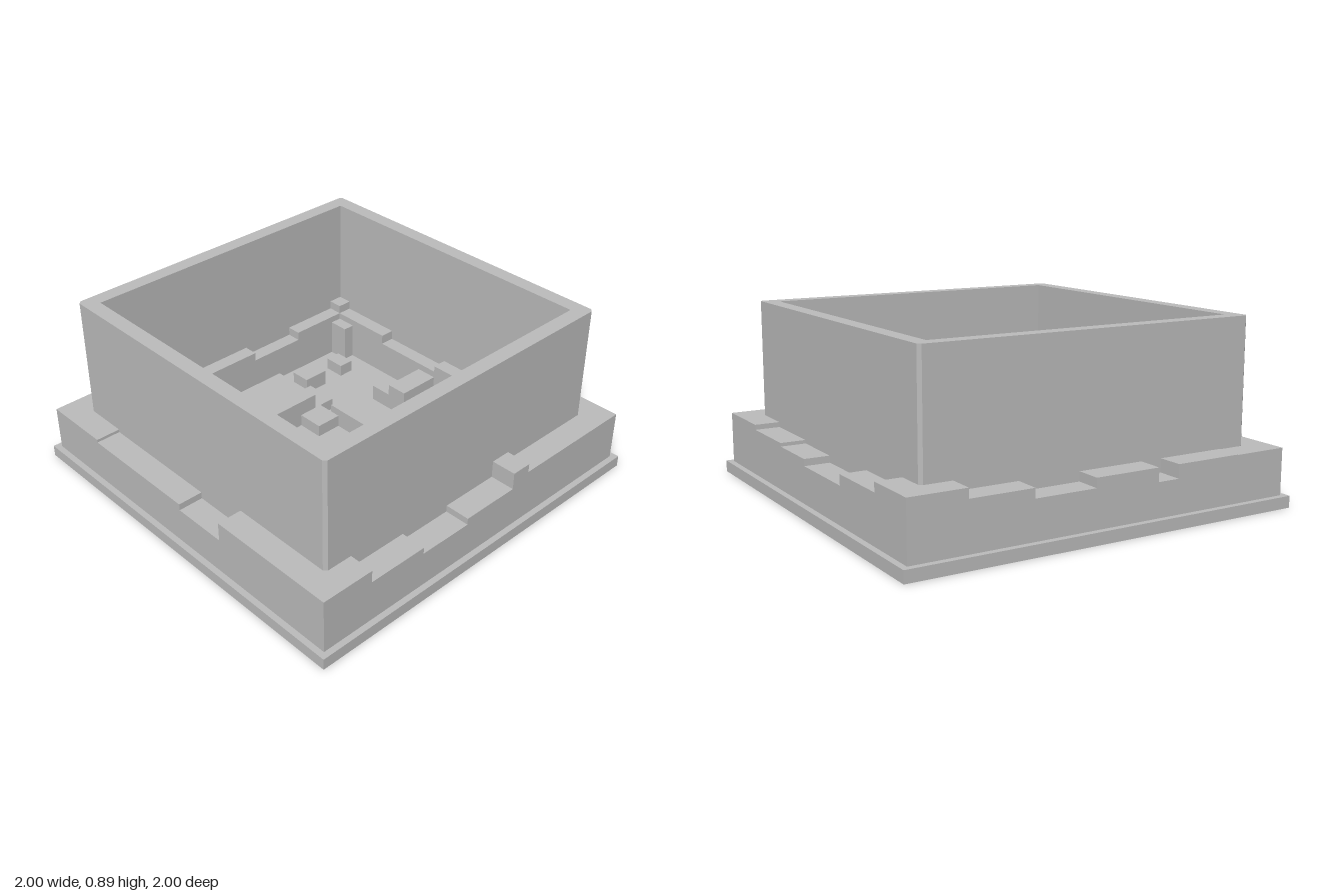
import * as THREE from 'three';

export function createModel() {
  const model = new THREE.Group();
  const stone = new THREE.MeshStandardMaterial({ color: 0xbcbcbc });
  stone.name = 'grey stone';
  const FLOOR = 0.057;

  // Box given by its x range, y range and z range
  function block(name, x0, x1, y0, y1, z0, z1) {
    const mesh = new THREE.Mesh(new THREE.BoxGeometry(x1 - x0, y1 - y0, z1 - z0), stone);
    mesh.position.set((x0 + x1) / 2, (y0 + y1) / 2, (z0 + z1) / 2);
    mesh.name = name;
    model.add(mesh);
  }

  // Base slab
  block('baseSlab', -1, 1, 0, FLOOR, -1, 1);

  // Uneven low wall: runs of [start, end, height] along each side
  const OUT = 0.97, IN = 0.695;
  const front = [[-OUT, -0.7, 0.33], [-0.7, -0.39, 0.268], [-0.39, -0.11, 0.235],
    [-0.11, 0.195, 0.268], [0.195, 0.3, 0.355], [0.3, OUT, 0.31]];
  const back = [[-OUT, -0.7, 0.283], [-0.7, -0.36, 0.285], [-0.36, -0.25, 0.22],
    [-0.25, 0.08, 0.285], [0.08, 0.385, 0.24], [0.385, IN, 0.285], [IN, OUT, 0.33]];
  const right = [[-IN, -0.36, 0.285], [-0.36, 0.025, 0.235], [0.025, 0.305, 0.268],
    [0.305, 0.635, 0.285], [0.635, IN, 0.31]];
  const left = [[-IN, -0.615, 0.283], [-0.615, 0.025, 0.268], [0.025, 0.305, 0.235],
    [0.305, IN, 0.33]];
  for (const [a, b, h] of front) block('frontLowWall', a, b, FLOOR, h, IN, OUT);
  for (const [a, b, h] of back) block('backLowWall', a, b, FLOOR, h, -OUT, -IN);
  for (const [a, b, h] of right) block('rightLowWall', IN, OUT, FLOOR, h, a, b);
  for (const [a, b, h] of left) block('leftLowWall', -OUT, -IN, FLOOR, h, a, b);

  // Tall square frame with clipped corners, open at the top
  const R = 0.845, C = 0.83, H = 0.77;
  const outline = new THREE.Shape([[-C, -R], [C, -R], [R, -C], [R, C], [C, R], [-C, R],
    [-R, C], [-R, -C]].map(([x, y]) => new THREE.Vector2(x, y)));
  outline.holes.push(new THREE.Path([[-H, -H], [-H, H], [H, H], [H, -H]]
    .map(([x, y]) => new THREE.Vector2(x, y))));
  const frame = new THREE.Mesh(
    new THREE.ExtrudeGeometry(outline, { depth: 0.69, bevelEnabled: false }), stone);
  frame.rotation.x = -Math.PI / 2;
  frame.position.y = 0.2;
  frame.name = 'tallFrame';
  model.add(frame);

  // Stubs reaching inward from the low wall
  block('frontStub', 0.195, 0.3, FLOOR, 0.355, 0.5, IN);
  block('backStub', -0.36, -0.25, FLOOR, 0.22, -IN, -0.505);
  block('rightStub', 0.47, IN, FLOOR, 0.2, -0.085, 0.025);
  block('backCornerStub', 0.635, IN, FLOOR, 0.25, -IN, -0.59);
  block('leftStep', -IN, -0.64, FLOOR, 0.25, 0.28, IN);

  // Rubble blocks on the floor: [x0, x1, z0, z1, top]
  const rubble = [
    [-0.58, -0.31, -0.505, -0.255, 0.24], [-0.2, 0.13, -0.56, -0.28, 0.2],
    [-0.165, 0.165, 0.305, 0.58, 0.2], [0.165, 0.36, -0.2, 0.05, 0.16],
    [-0.365, -0.165, -0.11, 0.02, 0.16], [-0.365, -0.225, 0.02, 0.11, 0.12],
    [-0.585, -0.5, -0.585, -0.505, 0.15], [-0.31, -0.2, -0.5, -0.255, 0.15],
    [-0.165, -0.085, -0.28, -0.145, 0.12], [0.03, 0.165, -0.28, -0.145, 0.12],
    [0.25, 0.385, -0.585, -0.48, 0.14], [0.13, 0.25, -0.45, -0.28, 0.12],
    [-0.585, -0.525, -0.11, 0.13, 0.12], [-0.53, -0.475, 0.415, 0.47, 0.1],
    [0.5, 0.58, -0.585, -0.48, 0.12], [0.47, 0.58, -0.2, -0.085, 0.14],
    [0.5, 0.58, 0.19, 0.3, 0.12], [0.47, 0.58, 0.025, 0.05, 0.12],
    [-0.165, -0.055, 0.165, 0.305, 0.12], [-0.365, -0.165, 0.28, 0.36, 0.12],
    [-0.305, -0.165, 0.47, 0.58, 0.12], [0.165, 0.335, 0.5, 0.58, 0.12],
    [0.165, 0.385, 0.19, 0.3, 0.1], [0.165, 0.335, 0.3, 0.38, 0.1],
  ];
  for (const [x0, x1, z0, z1, top] of rubble) block('rubbleBlock', x0, x1, FLOOR, top, z0, z1);

  return model;
}
